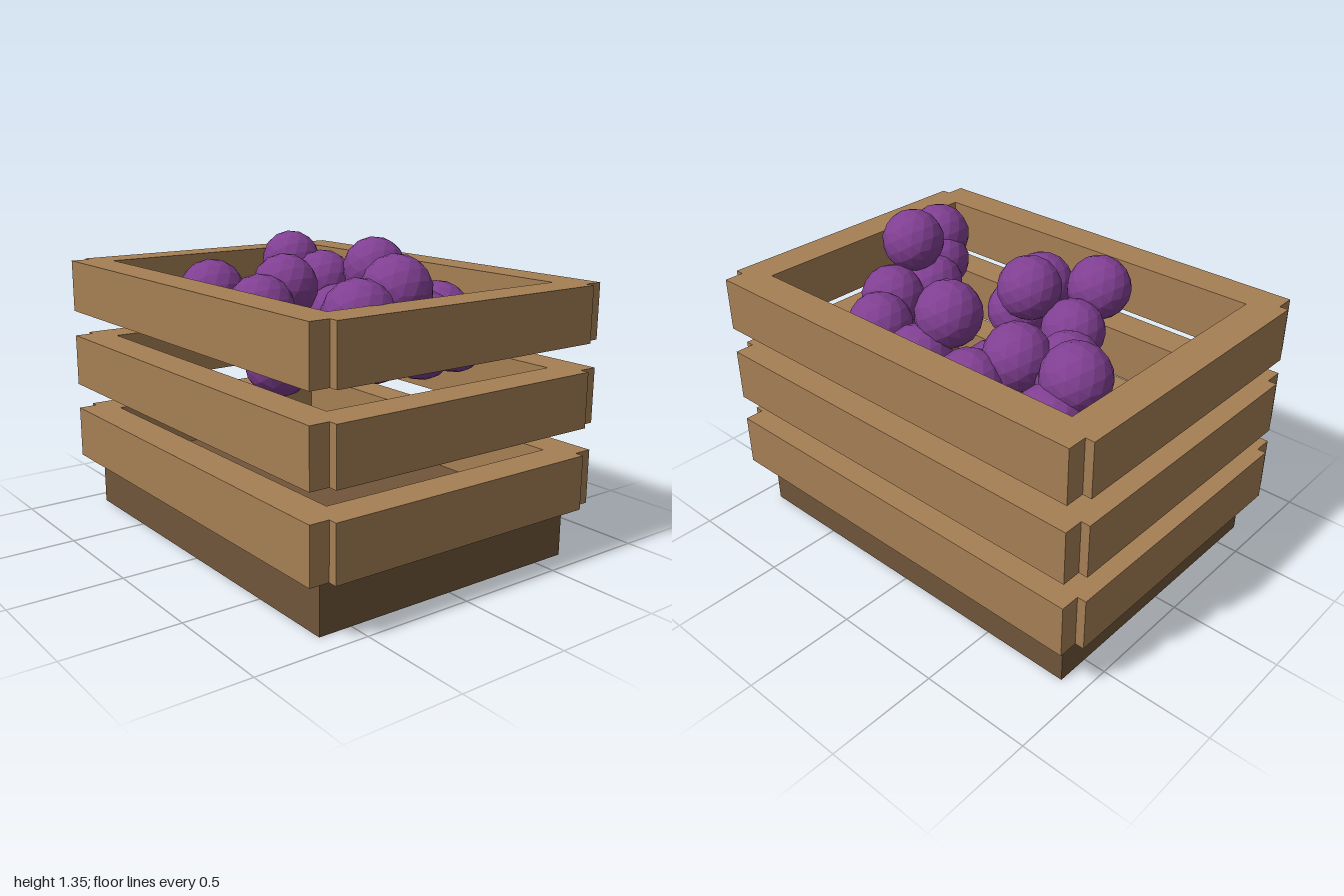
import * as THREE from 'three';

const wood = new THREE.MeshStandardMaterial({ name: 'lightWood', color: 0xa57f54, flatShading: true });
const darkWood = new THREE.MeshStandardMaterial({ name: 'darkWood', color: 0x70553a, flatShading: true });
const purple = new THREE.MeshStandardMaterial({ name: 'purpleFruit', color: 0x803f92, flatShading: true });

function box(name, w, h, d, x, y, z, material) {
  const mesh = new THREE.Mesh(new THREE.BoxGeometry(w, h, d), material);
  mesh.name = name;
  mesh.position.set(x, y, z);
  return mesh;
}

// Fruit centres, grouped by bunch: [x, y, z]
const bunches = {
  backRightBunch: [
    [-0.62, 1.015, -0.425], [-0.65, 1.16, -0.31], [-0.53, 1.04, -0.19], [-0.455, 1.05, -0.11],
  ],
  backBunch: [
    [-0.31, 1.1, -0.26], [-0.215, 1.02, -0.44], [-0.17, 0.96, -0.24],
    [0.08, 1.02, -0.435], [0.03, 1.19, -0.3],
  ],
  backLeftBunch: [
    [0.465, 0.92, -0.4], [0.4, 1.03, -0.355], [0.56, 1.03, -0.13], [0.605, 0.96, -0.08],
  ],
  frontLeftBunch: [
    [0.655, 1.205, 0.1], [0.61, 0.98, 0.17], [0.67, 1.04, 0.28], [0.725, 1.14, 0.34],
  ],
  frontBunch: [
    [-0.215, 0.99, 0.22], [0, 1.145, 0.175], [0.075, 1.08, 0.35], [0.24, 0.88, 0.37], [-0.195, 1.12, 0.425],
  ],
};

export function createModel() {
  const model = new THREE.Group();
  model.name = 'fruitCrate';

  // Solid base
  model.add(box('base', 1.8, 0.24, 1.3, 0, 0.12, 0, darkWood));

  // Three rings of slats, the side slats set between the long ones at notched corners
  ['lower', 'middle', 'upper'].forEach((level, i) => {
    const y = 0.36 + i * 0.36;
    const ring = new THREE.Group();
    ring.name = level + 'Slats';
    for (const s of [1, -1]) {
      ring.add(box(s > 0 ? 'frontSlat' : 'backSlat', 1.92, 0.24, 0.16, 0, y, s * 0.657, wood));
      ring.add(box(s > 0 ? 'leftSlat' : 'rightSlat', 0.156, 0.24, 1.3, s * 0.922, y, 0, wood));
    }
    model.add(ring);
  });

  // Bunches of round fruit
  const fruitGeometry = new THREE.IcosahedronGeometry(0.145, 2);
  for (const [name, centres] of Object.entries(bunches)) {
    const bunch = new THREE.Group();
    bunch.name = name;
    for (const [x, y, z] of centres) {
      const fruit = new THREE.Mesh(fruitGeometry, purple);
      fruit.name = 'fruit';
      fruit.position.set(x, y, z);
      bunch.add(fruit);
    }
    model.add(bunch);
  }
  return model;
}
